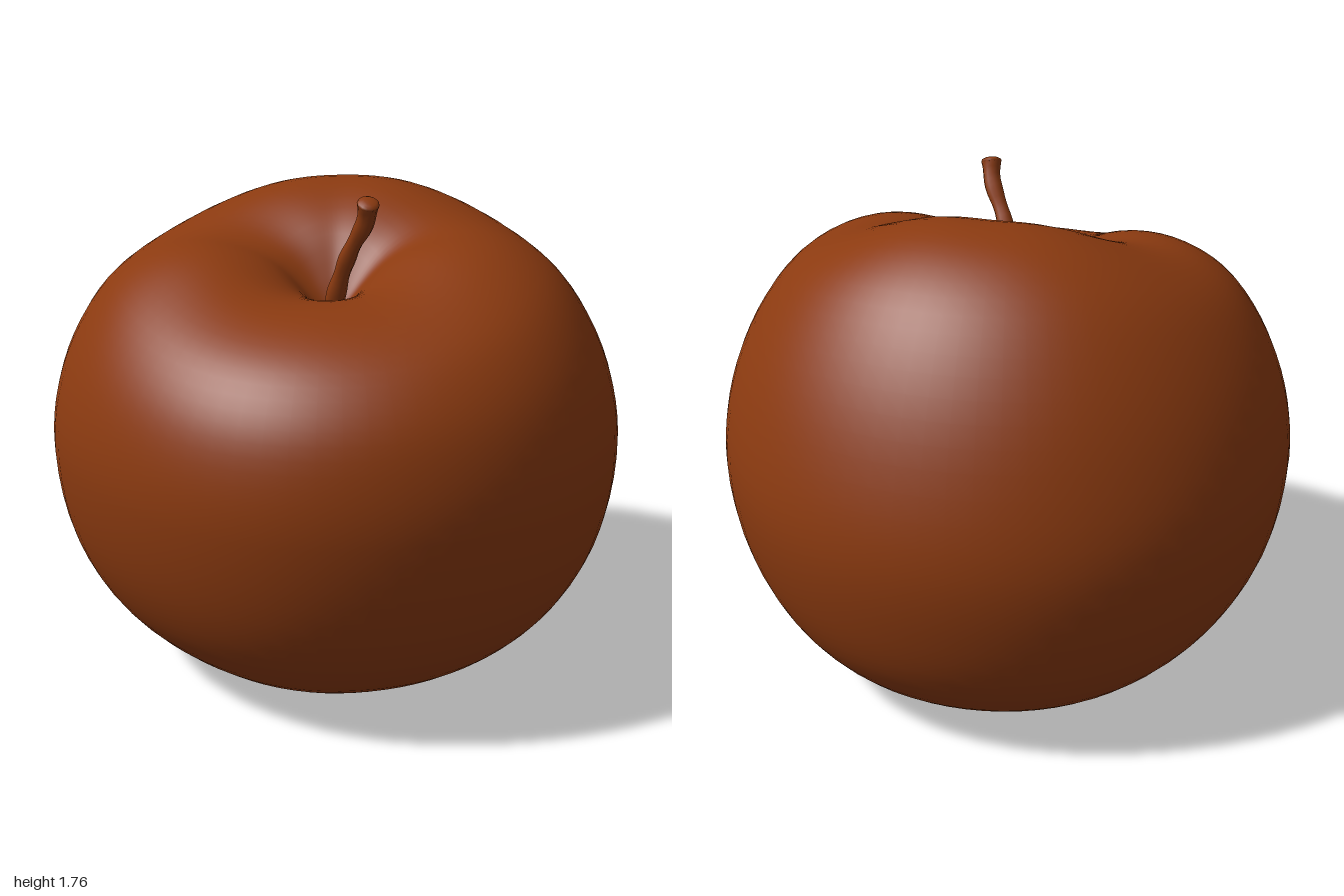
import * as THREE from 'three';
import { mergeVertices } from 'three/addons/utils/BufferGeometryUtils.js';

const skin = new THREE.MeshStandardMaterial({ color: 0x8b3a10 });
skin.name = 'russet';

// Profile rows, top cavity to bottom cavity:
// [axis z, front z, front y, side radius, side y, back z, back y]
const ROWS = [
  [0.14, 0.14, 1.27, 0.00, 1.27, 0.14, 1.27],
  [0.14, 0.22, 1.36, 0.08, 1.38, 0.07, 1.43],
  [0.13, 0.33, 1.415, 0.21, 1.505, -0.05, 1.595],
  [0.11, 0.48, 1.44, 0.40, 1.565, -0.27, 1.697],
  [0.08, 0.65, 1.41, 0.58, 1.545, -0.46, 1.67],
  [0.05, 0.82, 1.32, 0.75, 1.45, -0.64, 1.56],
  [0.03, 0.93, 1.18, 0.88, 1.28, -0.79, 1.37],
  [0.01, 0.98, 1.01, 0.97, 1.06, -0.91, 1.11],
  [0.00, 0.985, 0.82, 1.00, 0.83, -0.98, 0.79],
  [0.00, 0.92, 0.53, 0.95, 0.52, -0.94, 0.50],
  [0.00, 0.80, 0.30, 0.82, 0.28, -0.85, 0.28],
  [0.00, 0.61, 0.12, 0.63, 0.11, -0.70, 0.12],
  [0.00, 0.38, 0.02, 0.38, 0.00, -0.50, 0.03],
  [0.00, 0.22, 0.04, 0.23, 0.03, -0.28, 0.04],
  [0.00, 0.10, 0.10, 0.11, 0.10, -0.14, 0.10],
  [-0.03, -0.03, 0.13, 0.00, 0.13, -0.03, 0.13],
];
const profile = (pick) => new THREE.CatmullRomCurve3(
  ROWS.map((r) => new THREE.Vector3(...pick(r), r[0])), false, 'centripetal');

// Fruit body: a sphere grid remapped onto front, side and back profiles blended by heading
function bodyGeometry() {
  const front = profile((r) => [r[1] - r[0], r[2]]);
  const side = profile((r) => [r[3], r[4]]);
  const back = profile((r) => [r[0] - r[5], r[6]]);
  const geo = new THREE.SphereGeometry(1, 72, 60);
  const { position, uv } = geo.attributes;
  for (let i = 0; i < position.count; i++) {
    const t = 1 - uv.getY(i);
    const a = Math.round(uv.getX(i) * 144) / 144 * Math.PI * 2;
    const sx = -Math.cos(a), sz = Math.sin(a);
    const blend = 1 - Math.abs(sx) ** 3;
    const p = side.getPoint(t).lerp((sz > 0 ? front : back).getPoint(t), blend);
    // slightly flattened quarter at front, -x side
    const flat = sz > 0 && sx < 0 ? 1 - 0.03 * (2 * sx * sz) ** 2 : 1;
    // the +x shoulder sits a touch higher
    const lean = 0.015 * sx * Math.max(0, p.y - 0.9);
    position.setXYZ(i, sx * p.x * flat, p.y + lean, p.z + sz * p.x * flat);
  }
  geo.deleteAttribute('uv');
  geo.deleteAttribute('normal');
  const welded = mergeVertices(geo, 1e-4);
  welded.computeVertexNormals();
  return welded;
}

// Stem: a bent tube, flared at its base and tip
function stemGeometry(path) {
  const rings = 24, sides = 10;
  const geo = new THREE.TubeGeometry(path, rings, 1, sides);
  const pos = geo.attributes.position, v = new THREE.Vector3();
  for (let i = 0; i < pos.count; i++) {
    const t = Math.floor(i / (sides + 1)) / rings;
    const radius = 0.027 + 0.02 * (1 - t) ** 4 + 0.01 * t ** 8 + 0.002 * Math.sin(t * 25);
    const c = path.getPointAt(t);
    v.fromBufferAttribute(pos, i).sub(c).multiplyScalar(radius).add(c);
    pos.setXYZ(i, v.x, v.y, v.z);
  }
  geo.computeVertexNormals();
  return geo;
}

export function createModel() {
  const model = new THREE.Group();
  model.name = 'apple';
  const add = (name, geo, parent = model) => {
    const mesh = new THREE.Mesh(geo, skin);
    mesh.name = name;
    parent.add(mesh);
    return mesh;
  };

  add('body', bodyGeometry());

  const path = new THREE.CatmullRomCurve3([
    [-0.01, 1.25, 0.13], [0.015, 1.4, 0.18], [0.06, 1.55, 0.245],
    [0.115, 1.67, 0.305], [0.125, 1.735, 0.335],
  ].map((p) => new THREE.Vector3(...p)));
  add('stem', stemGeometry(path));

  // Cut end of the stem
  const tip = add('stemTip', new THREE.SphereGeometry(0.037, 12, 8));
  tip.position.copy(path.getPointAt(1));
  tip.scale.y = 0.4;
  tip.quaternion.setFromUnitVectors(new THREE.Vector3(0, 1, 0), path.getTangentAt(1));

  // Dried blossom end under the fruit
  const calyx = new THREE.Group();
  calyx.name = 'calyx';
  calyx.position.set(-0.03, 0.105, -0.05);
  model.add(calyx);
  const core = add('calyxCore', new THREE.SphereGeometry(0.08, 12, 8), calyx);
  core.scale.y = 0.45;
  for (let i = 0; i < 7; i++) {
    const arm = new THREE.Group();
    arm.name = 'sepalArm';
    arm.rotation.y = (i / 7) * Math.PI * 2 + 0.3 * Math.sin(i * 4);
    calyx.add(arm);
    const sepal = add('sepal', new THREE.ConeGeometry(0.045, 0.13, 8), arm);
    sepal.scale.z = 0.4;
    sepal.position.set(0, -0.02, 0.09);
    sepal.rotation.x = Math.PI / 2 + 0.1 + 0.3 * (i % 2);
  }
  return model;
}
